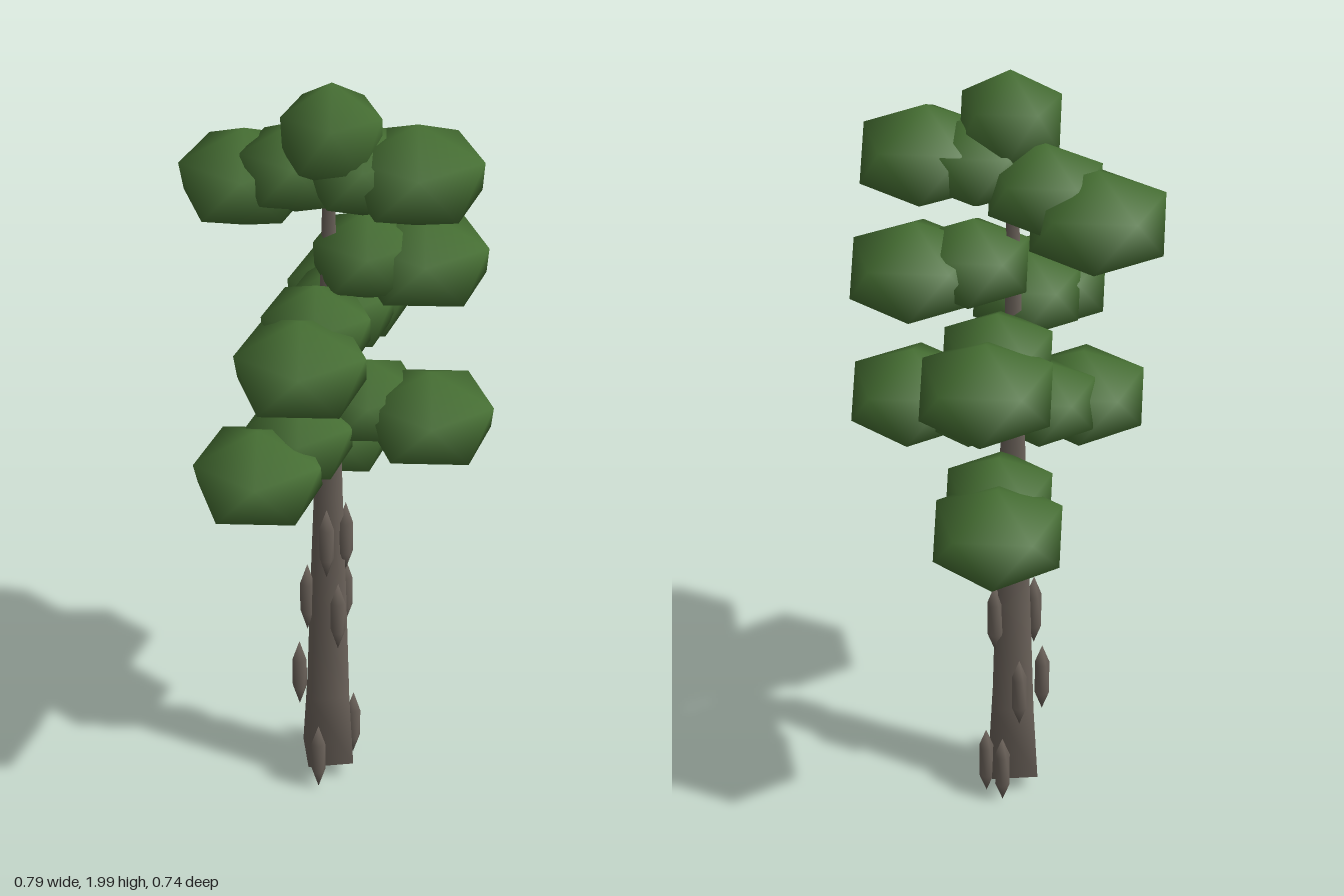
import * as THREE from 'three';

const UP = new THREE.Vector3(0, 1, 0);

// Smooth 20-sided ball standing on one of its points,
// with an upper corner towards +x and a lower corner towards -x
function makeBall() {
  const g = new THREE.IcosahedronGeometry(1, 0);
  g.rotateX(-Math.atan((1 + Math.sqrt(5)) / 2));
  const p = g.attributes.position;
  let corner = 0;
  for (let i = 0; i < p.count; i++) {
    if (p.getY(i) > 0.3 && p.getY(i) < 0.6) corner = Math.atan2(p.getZ(i), p.getX(i));
  }
  g.rotateY(corner);
  g.setAttribute('normal', p.clone());
  return g;
}

// Centre line of the slightly leaning trunk
const trunkX = (y) => 0.032 - 0.008 * y;
const trunkZ = (y) => -0.012 + 0.006 * y;

export function createModel() {
  const leaf = new THREE.MeshStandardMaterial({ color: 0x466f33 });
  leaf.name = 'leafGreen';
  const bark = new THREE.MeshStandardMaterial({ color: 0x6c635b });
  bark.name = 'barkGrey';

  const tree = new THREE.Group();
  tree.name = 'tree';
  const ball = makeBall();

  const add = (parent, name, geometry, material) => {
    const mesh = new THREE.Mesh(geometry, material);
    mesh.name = name;
    parent.add(mesh);
    return mesh;
  };

  // Trunk: four smooth sides, tapered, flared at the foot, closed below
  const profile = [[0, 0.06], [0.085, 0.06], [0.07, 0.28], [0.058, 0.6], [0.045, 0.9],
    [0.033, 1.25], [0.022, 1.6], [0.014, 1.82]].map(([r, y]) => new THREE.Vector2(r, y));
  const trunk = new THREE.LatheGeometry(profile, 4);
  const p = trunk.attributes.position;
  for (let i = 0; i < p.count; i++) {
    p.setX(i, p.getX(i) + trunkX(p.getY(i)));
    p.setZ(i, p.getZ(i) + trunkZ(p.getY(i)));
  }
  add(tree, 'trunk', trunk, bark);

  // Bark ridges: slender upright slivers
  const ridges = [
    [-0.053, 0.115, 0.022], [0.116, 0.115, 0.008], [0.116, 0.115, -0.048],
    [-0.028, 0.34, -0.06], [0.065, 0.345, -0.062],
    [0.003, 0.55, 0.042], [0.087, 0.565, 0.0], [0.0, 0.57, -0.055],
    [-0.01, 0.77, 0.015], [0.035, 0.78, 0.04],
  ];
  for (const [x, y, z] of ridges) {
    const m = add(tree, 'barkRidge', ball, bark);
    m.position.set(x, y, z);
    m.scale.set(0.022, 0.102, 0.022);
  }

  // Flattened leaf clump
  function clump(parent, name, [x, y, z], radius, height) {
    const m = add(parent, name, ball, leaf);
    m.position.set(x, y, z);
    m.scale.set(radius, height, radius);
  }

  // Boughs: outer clump centre, inner clump centre
  const boughs = [
    [[0.237, 0.963, -0.142], [0.15, 0.99, -0.07]],
    [[-0.238, 1.08, -0.01], [-0.095, 1.12, 0.0]],
    [[0.126, 1.155, 0.222], [0.075, 1.17, 0.075]],
    [[0.238, 1.337, -0.11], [0.13, 1.36, -0.05]],
    [[-0.195, 1.385, 0.085], [-0.075, 1.418, 0.035]],
    [[0.178, 1.533, 0.155], [0.088, 1.55, 0.058]],
    [[-0.015, 1.705, -0.222], [0.015, 1.755, -0.095]],
    [[0.098, 1.785, 0.187], [0.045, 1.785, 0.075]],
  ];
  boughs.forEach(([outer, inner], i) => {
    const bough = new THREE.Group();
    bough.name = `bough${i + 1}`;
    tree.add(bough);
    clump(bough, 'outerClump', outer, 0.175, 0.123);
    clump(bough, 'innerClump', inner, 0.147, 0.112);

    // Thin branch from the trunk into the clump
    const y = outer[1] - 0.02;
    const start = new THREE.Vector3(trunkX(y), y, trunkZ(y));
    const dir = new THREE.Vector3(...outer).sub(start);
    const branch = add(bough, 'branch', new THREE.CylinderGeometry(0.008, 0.014, dir.length(), 4), bark);
    branch.position.copy(start).addScaledVector(dir, 0.5);
    branch.quaternion.setFromUnitVectors(UP, dir.normalize());
  });

  // Crown
  clump(tree, 'crown', [-0.008, 1.876, 0.027], 0.132, 0.124);

  return tree;
}
